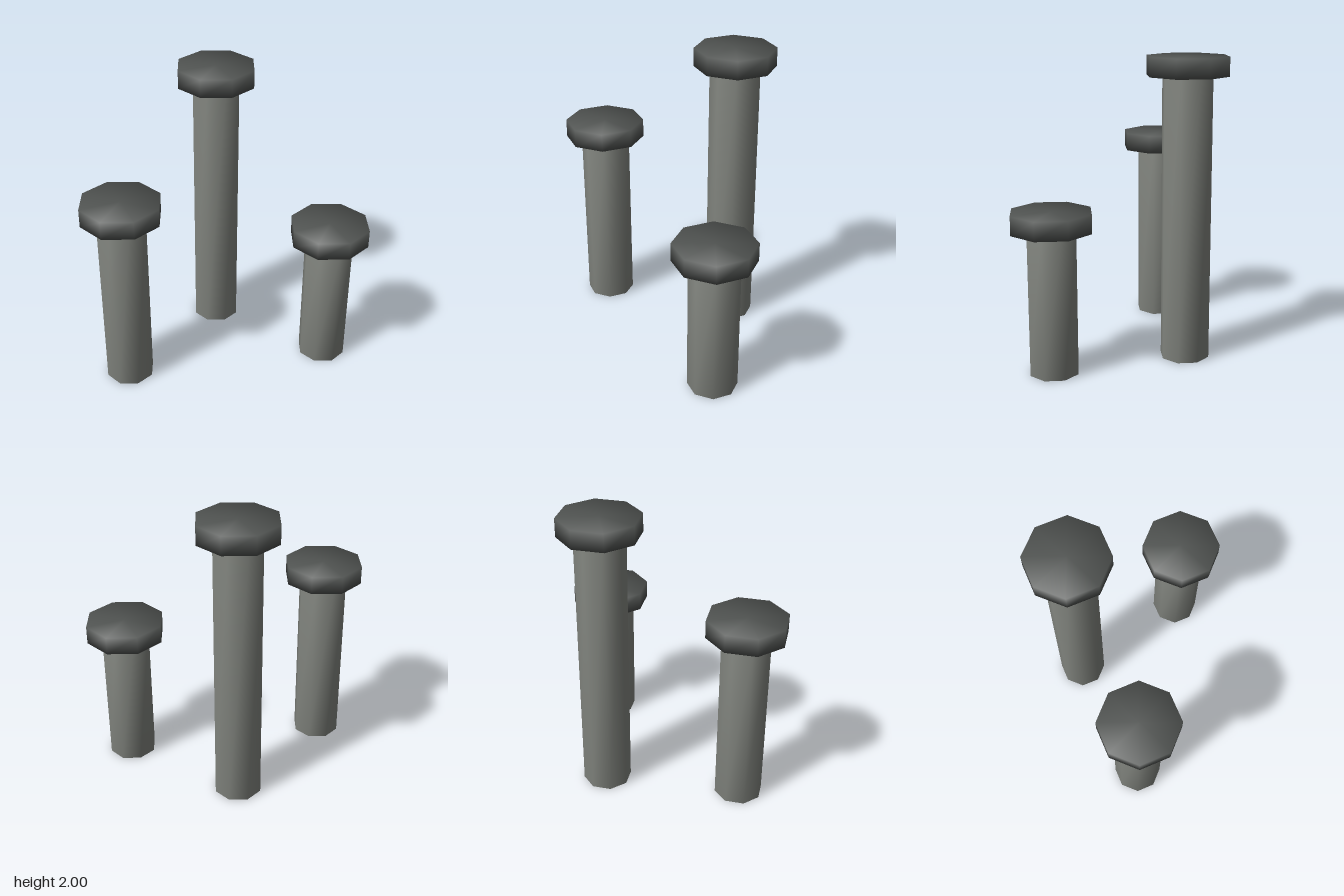
import * as THREE from 'three';
import { mergeVertices } from 'three/addons/utils/BufferGeometryUtils.js';

const SIDES = 8;
const SHAFT_RADIUS = 0.166;
const CAP_RADIUS = 0.27;
const CAP_HEIGHT = 0.124;

const shaftMaterial = new THREE.MeshStandardMaterial({ color: 0x82857f });
const capMaterial = new THREE.MeshStandardMaterial({ color: 0x505351 });

// Closed eight-sided prism with normals smoothed across every edge
function smoothPrism(radius, height) {
  const geometry = new THREE.CylinderGeometry(radius, radius, height, SIDES);
  geometry.deleteAttribute('uv');
  geometry.deleteAttribute('normal');
  const merged = mergeVertices(geometry);
  merged.computeVertexNormals();
  return merged;
}

// Shaft standing on the ground with a wider cap on top
function createPillar(name, x, z, height) {
  const pillar = new THREE.Group();
  pillar.name = name;
  pillar.position.set(x, 0, z);

  const shaftHeight = height - CAP_HEIGHT;
  const shaft = new THREE.Mesh(smoothPrism(SHAFT_RADIUS, shaftHeight), shaftMaterial);
  shaft.name = 'shaft';
  shaft.position.y = shaftHeight / 2;

  const cap = new THREE.Mesh(smoothPrism(CAP_RADIUS, CAP_HEIGHT), capMaterial);
  cap.name = 'cap';
  cap.position.y = height - CAP_HEIGHT / 2;

  pillar.add(shaft, cap);
  return pillar;
}

export function createModel() {
  const model = new THREE.Group();
  model.name = 'pillars';
  model.add(
    createPillar('tallPillar', 0.155, -0.367, 2),
    createPillar('mediumPillar', -0.678, 0.052, 1.378),
    createPillar('shortPillar', 0.675, 0.364, 1.065)
  );
  return model;
}
